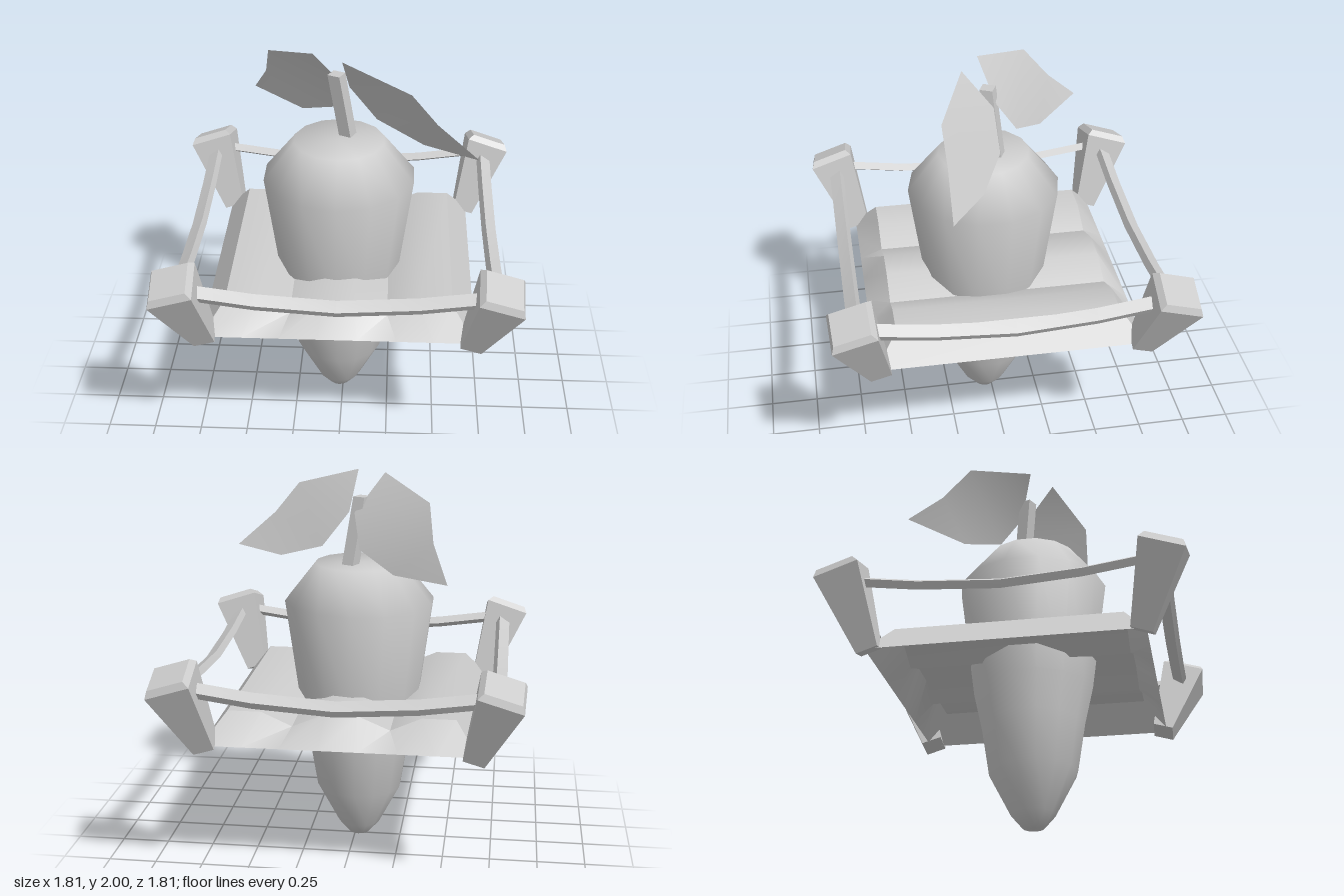
import * as THREE from 'three';
import { toCreasedNormals } from 'three/addons/utils/BufferGeometryUtils.js';

const grey = new THREE.MeshStandardMaterial({ color: 0xcccccc });
const greySheet = new THREE.MeshStandardMaterial({ color: 0xcccccc, side: THREE.DoubleSide });

function build(points, index) {
  const g = new THREE.BufferGeometry();
  g.setAttribute('position', new THREE.Float32BufferAttribute(points.flat(), 3));
  g.setIndex(index);
  g.computeVertexNormals();
  return g;
}

// Closed solid through equal-sized rings, each counter-clockwise seen from the far end
function loft(rings, crease) {
  const n = rings[0].length, last = (rings.length - 1) * n, index = [];
  for (let i = 0; i < rings.length - 1; i++) {
    for (let j = 0; j < n; j++) {
      const a = i * n + j, b = i * n + (j + 1) % n;
      index.push(a, b, b + n, a, b + n, a + n);
    }
  }
  for (let j = 1; j < n - 1; j++) {
    index.push(0, j + 1, j, last, last + j, last + j + 1);
  }
  return toCreasedNormals(build(rings.flat(), index), crease);
}

// Open sheet through rows of points
function sheet(rows) {
  const n = rows[0].length, index = [];
  for (let i = 0; i < rows.length - 1; i++) {
    for (let j = 0; j < n - 1; j++) {
      const a = i * n + j;
      index.push(a, a + n, a + 1, a + 1, a + n, a + n + 1);
    }
  }
  return build(rows.flat(), index);
}

function add(parent, name, geometry, material = grey) {
  const mesh = new THREE.Mesh(geometry, material);
  mesh.name = name;
  parent.add(mesh);
  return mesh;
}

export function createModel() {
  const model = new THREE.Group();
  model.name = 'rootVegetableInFrame';

  // Tapered root, smooth with 14 sides
  const profile = [[0, 0], [0.055, 0], [0.115, 0.07], [0.23, 0.29], [0.27, 0.54],
    [0.315, 0.74], [0.395, 1.33], [0.235, 1.53], [0, 1.53]];
  const root = add(model, 'root',
    new THREE.LatheGeometry(profile.map(([r, y]) => new THREE.Vector2(r, y)), 14));
  root.position.set(-0.02, 0, 0.035);

  // Leaning four-sided stem
  const square = (cx, y, cz, r) => [0, 1, 2, 3].map(k => {
    const a = 0.35 + k * Math.PI / 2;
    return [cx + r * Math.cos(a), y, cz - r * Math.sin(a)];
  });
  add(model, 'stem', loft([square(0.025, 1.5, -0.03, 0.047), square(-0.035, 1.88, 0.01, 0.047)], 0.5));

  // Two drooping leaves, each between an upper and a lower edge ending in a shared tip
  const leaves = {
    leftLeaf: [
      [[0, 2, 0.145], [0.34, 1.9, 0.29], [0.47, 1.74, 0.28], [0.68, 1.555, 0.285]],
      [[0.03, 1.8, -0.01], [0.17, 1.62, -0.02], [0.41, 1.54, 0.1], [0.68, 1.555, 0.285]]],
    rightLeaf: [
      [[-0.15, 2, 0.045], [-0.4, 1.895, -0.24], [-0.43, 1.72, -0.38], [-0.51, 1.555, -0.545]],
      [[0, 1.8, -0.03], [-0.04, 1.63, -0.14], [-0.23, 1.54, -0.3], [-0.51, 1.555, -0.545]]],
  };
  for (const [name, edges] of Object.entries(leaves)) add(model, name, sheet(edges), greySheet);

  // Wavy tray with flared skirts, open underneath
  const tray = new THREE.Group();
  tray.name = 'tray';
  model.add(tray);
  const inner = 0.57, outer = 0.685, rim = 0.89, foot = 0.74;
  const waves = [[-0.57, rim], [-0.4, rim], [-0.245, 0.82], [-0.08, rim],
    [0.08, rim], [0.245, 0.82], [0.4, rim], [0.57, rim]];
  const crest = z => waves.map(([x, y]) => [x, y, z]);
  const hem = z => waves.map(([x]) => [x * outer / inner, foot, z]);
  add(tray, 'wavyFloor',
    toCreasedNormals(sheet([hem(-outer), crest(-inner), crest(inner), hem(outer)]), 0.6), greySheet);
  for (const s of [-1, 1]) {
    add(tray, s > 0 ? 'leftSkirt' : 'rightSkirt', sheet([
      [[s * inner, rim, -s * inner], [s * inner, rim, s * inner]],
      [[s * outer, foot, -s * outer], [s * outer, foot, s * outer]],
    ].map(row => row.reverse())), greySheet);
  }

  // Corner post: flared, bevelled top, leaning outwards along the diagonal
  const postRings = [[0.055, 0], [0.115, 0.415], [0.094, 0.447]].map(([h, y]) =>
    [[h, y, h], [h, y, -h], [-h, y, -h], [-h, y, h]]);
  const post = loft(postRings, 0.7);
  post.applyMatrix4(new THREE.Matrix4().makeRotationAxis(
    new THREE.Vector3(1, 0, -1).normalize(), 0.441));
  post.translate(0.665, 0.735, 0.665);

  // Sagging rail with a tilted rectangular section
  const section = [[0.955, 0.79], [0.99, 0.735], [1.025, 0.755], [0.99, 0.81]];
  const sag = [[-0.685, 0.067], [-0.4, 0.027], [0, 0], [0.4, 0.027], [0.685, 0.067]];
  const rail = loft(sag.map(([x, dy]) => section.map(([y, z]) => [x, y + dy, z])), 0.6);

  ['front', 'left', 'back', 'right'].forEach((side, k) => {
    const turn = k * Math.PI / 2;
    add(model, side + 'Rail', rail).rotation.y = turn;
    add(model, side + 'CornerPost', post).rotation.y = turn;
  });

  return model;
}
